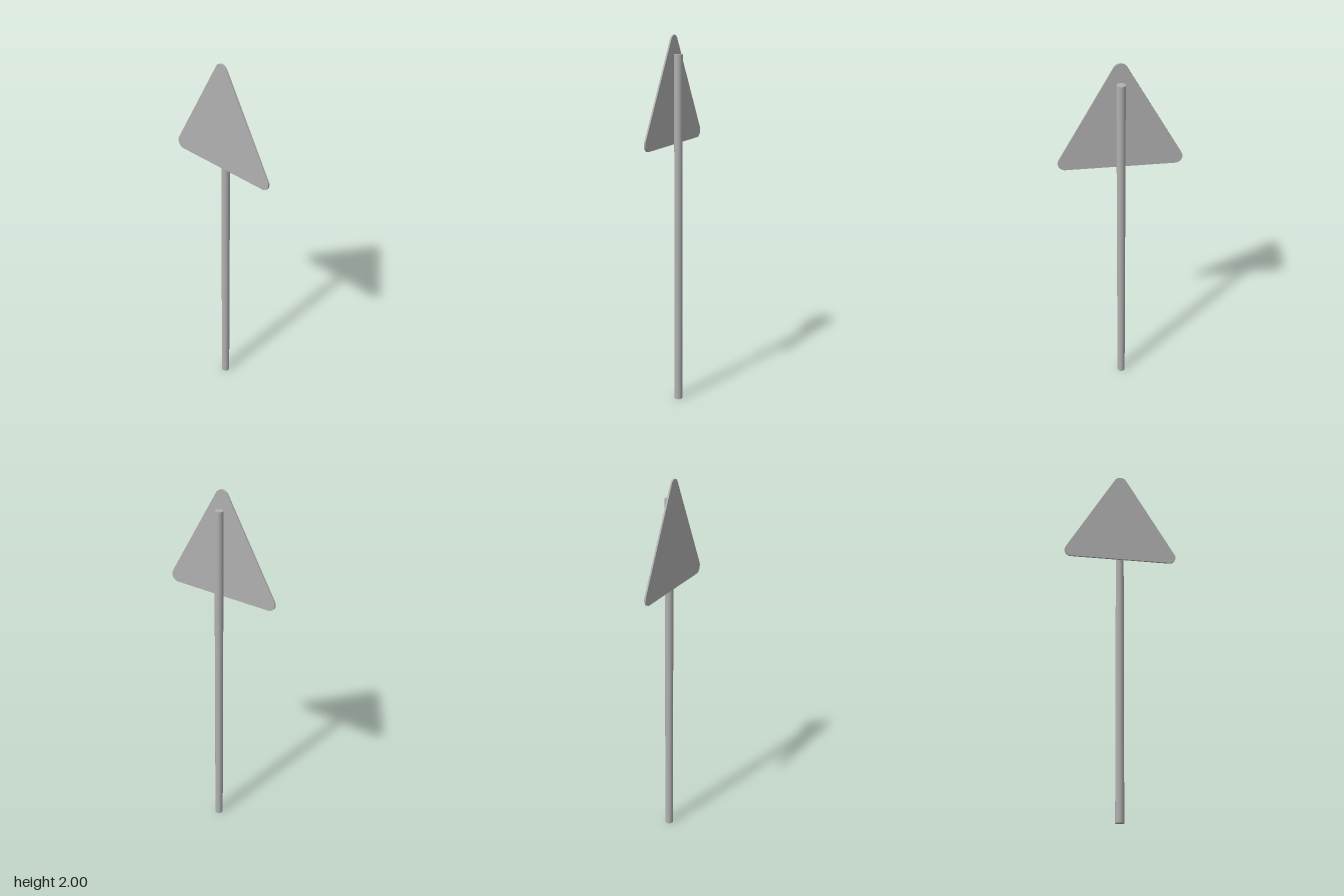
import * as THREE from 'three';

export function createModel() {
  const model = new THREE.Group();
  model.name = 'roadSign';
  const grey = new THREE.MeshStandardMaterial({ color: 0xb0b0b0 });
  grey.name = 'grey metal';

  // Round post
  const postHeight = 1.905;
  const post = new THREE.Mesh(new THREE.CylinderGeometry(0.022, 0.022, postHeight, 32), grey);
  post.name = 'post';
  post.position.set(0, postHeight / 2, -0.0045);
  model.add(post);

  // Triangular plate with rounded corners: arcs around three corner centres
  const r = 0.037, half = 0.276, bottom = 1.448;
  const corners = [
    [half, bottom + r, -Math.PI / 2],
    [0, 2 - r, Math.PI / 6],
    [-half, bottom + r, Math.PI * 5 / 6],
  ];
  const outline = new THREE.Shape();
  outline.moveTo(half, bottom);
  for (const [x, y, start] of corners) {
    outline.absarc(x, y, r, start, start + Math.PI * 2 / 3, false);
  }
  outline.closePath();
  const plate = new THREE.Mesh(
    new THREE.ExtrudeGeometry(outline, { depth: 0.0085, bevelEnabled: false, curveSegments: 12 }),
    grey
  );
  plate.name = 'signPlate';
  plate.position.z = 0.0178;
  model.add(plate);

  return model;
}
